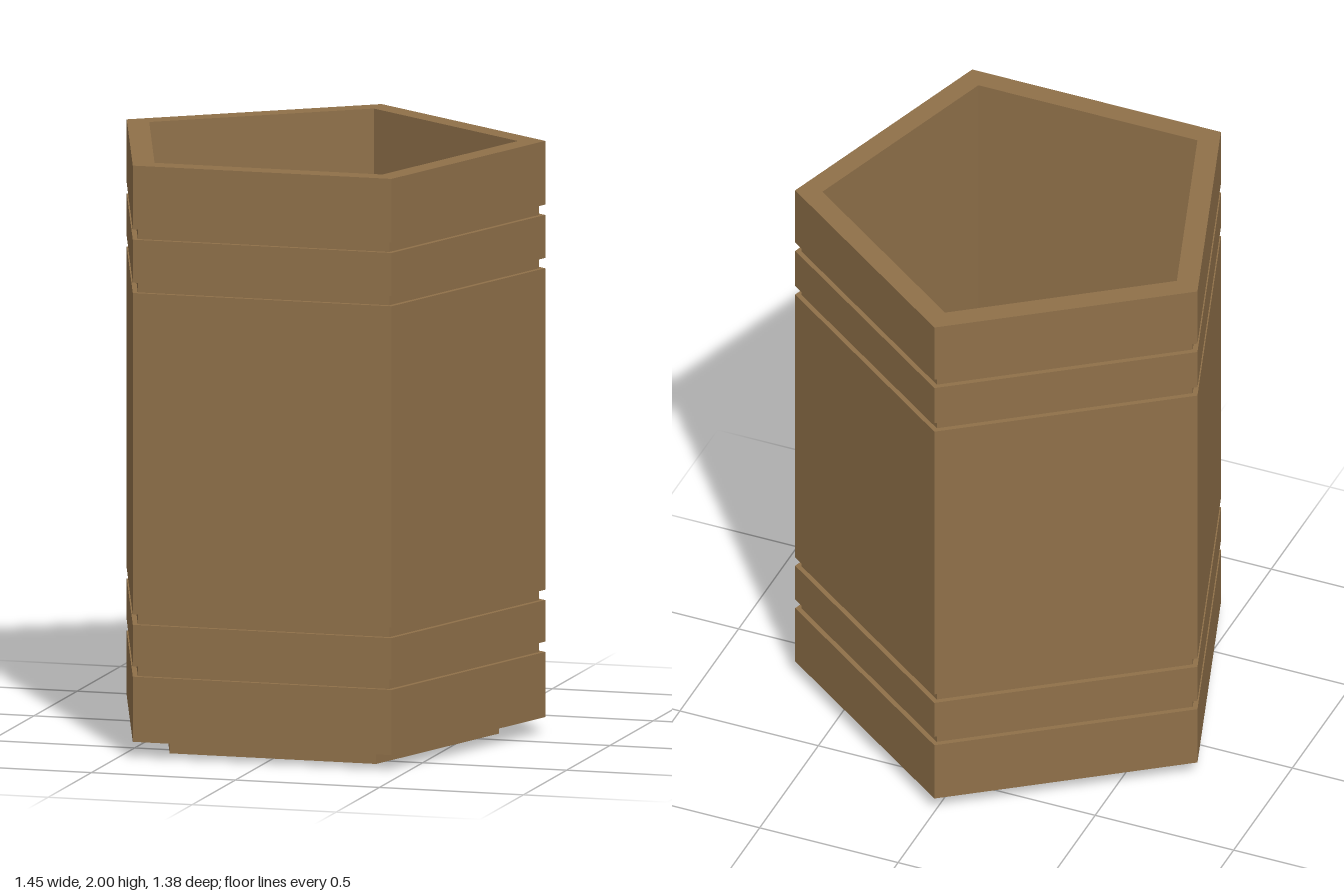
import * as THREE from 'three';

const OUTER = 0.764, GROOVE = 0.743, INNER = 0.673, FOOT = 0.61;
const FOOT_TOP = 0.055, FLOOR = 0.13, TOP = 2;
const CENTRE_Z = 0.073;

// Five-sided lathe with hard edges and one corner pointing to the back
function pentagon(name, profile, material) {
  const points = profile.map(([r, y]) => new THREE.Vector2(r, y));
  const geometry = new THREE.LatheGeometry(points, 5, Math.PI).toNonIndexed();
  geometry.computeVertexNormals();
  const mesh = new THREE.Mesh(geometry, material);
  mesh.name = name;
  return mesh;
}

export function createModel() {
  const model = new THREE.Group();
  model.name = 'pentagonalPot';
  const clay = new THREE.MeshStandardMaterial({ color: 0x8f7049 });
  clay.name = 'brownClay';

  // Outer wall, cut by two pairs of grooves
  const wall = [[0, FOOT_TOP], [OUTER, FOOT_TOP]];
  for (const [low, high] of [[0.275, 0.31], [0.45, 0.485], [1.57, 1.605], [1.75, 1.785]]) {
    wall.push([OUTER, low], [GROOVE, low], [GROOVE, high], [OUTER, high]);
  }
  // Flat rim, inner wall and floor
  wall.push([OUTER, TOP], [INNER, TOP], [INNER, FLOOR], [0, FLOOR]);
  model.add(pentagon('body', wall, clay));

  // Recessed foot
  model.add(pentagon('foot', [[0, 0], [FOOT, 0], [FOOT, FOOT_TOP]], clay));

  // Centre the pentagon's front-to-back extent
  model.children.forEach((part) => { part.position.z = CENTRE_Z; });
  return model;
}
